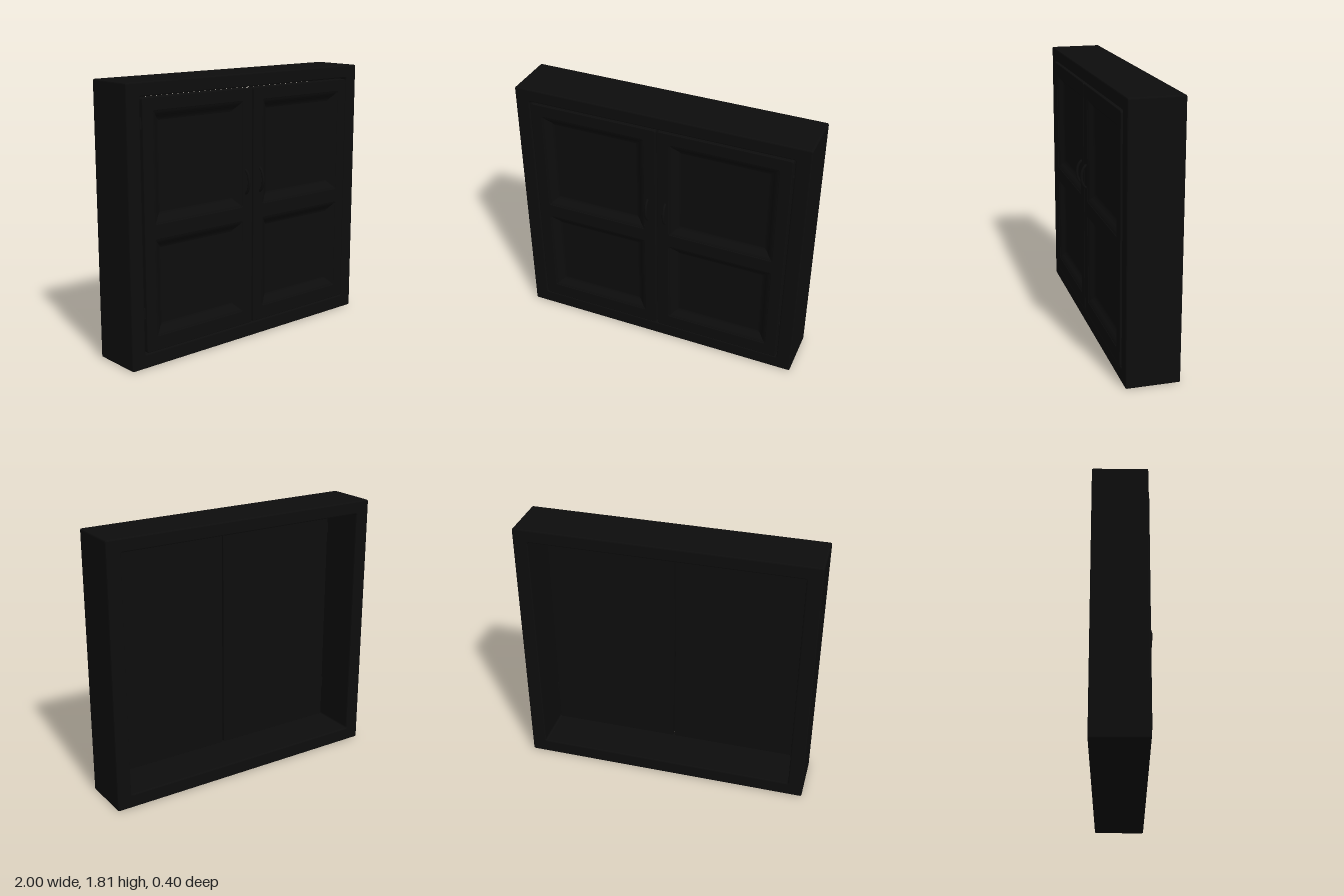
import * as THREE from 'three';

const material = new THREE.MeshStandardMaterial({ color: 0x0d0d0d, side: THREE.DoubleSide });

function add(parent, geometry, name) {
  const mesh = new THREE.Mesh(geometry, material);
  mesh.name = name;
  parent.add(mesh);
  return mesh;
}

// Rectangle outline with small rounded corners
function rounded(path, x0, x1, y0, y1, r) {
  path.moveTo(x0 + r, y0);
  path.lineTo(x1 - r, y0);
  path.quadraticCurveTo(x1, y0, x1, y0 + r);
  path.lineTo(x1, y1 - r);
  path.quadraticCurveTo(x1, y1, x1 - r, y1);
  path.lineTo(x0 + r, y1);
  path.quadraticCurveTo(x0, y1, x0, y1 - r);
  path.lineTo(x0, y0 + r);
  path.quadraticCurveTo(x0, y0, x0 + r, y0);
  return path;
}

// Bevelled board between two depths, with optional rectangular openings
function board(outer, holes, z0, z1, bevel, r) {
  const shape = rounded(new THREE.Shape(), ...outer, r);
  for (const h of holes) shape.holes.push(rounded(new THREE.Path(), ...h, r));
  const geometry = new THREE.ExtrudeGeometry(shape, {
    depth: z1 - z0 - 2 * bevel, bevelThickness: bevel, bevelSize: bevel,
    bevelOffset: -bevel, bevelSegments: 2, curveSegments: 4,
  });
  return geometry.translate(0, 0, z0 + bevel);
}

// Four sloping sides leading down into a sunken panel, with a soft S profile
function slopes([x0, x1, y0, y1], width, zTop, zBottom) {
  const steps = 6;
  const loops = [];
  for (let i = 0; i <= steps; i++) {
    const t = i / steps;
    const d = width * t;
    const z = THREE.MathUtils.lerp(zTop, zBottom, t * t * (3 - 2 * t));
    loops.push([[x0 + d, y0 + d, z], [x1 - d, y0 + d, z], [x1 - d, y1 - d, z], [x0 + d, y1 - d, z]]);
  }
  const positions = [];
  const index = [];
  for (let side = 0; side < 4; side++) {
    const base = positions.length / 3;
    for (const loop of loops) positions.push(...loop[side], ...loop[(side + 1) % 4]);
    for (let i = 0; i < steps; i++) {
      const a = base + i * 2;
      index.push(a, a + 1, a + 3, a, a + 3, a + 2);
    }
  }
  const geometry = new THREE.BufferGeometry();
  geometry.setAttribute('position', new THREE.Float32BufferAttribute(positions, 3));
  geometry.setIndex(index);
  geometry.computeVertexNormals();
  return geometry;
}

function createDoor(s) {
  const door = new THREE.Group();
  door.name = s > 0 ? 'leftDoor' : 'rightDoor';
  const span = (a, b) => (s > 0 ? [a, b] : [-b, -a]);
  const outer = [...span(0.005, 0.89), 0.103, 1.718];
  const panels = [
    [...span(0.09, 0.81), 0.93, 1.635],
    [...span(0.09, 0.81), 0.2, 0.83],
  ];

  // Backing slab, stiles and rails, sunken panels
  add(door, board(outer, [], 0.1, 0.122, 0.001, 0.015), 'doorBack');
  add(door, board(outer, panels, 0.12, 0.163, 0.004, 0.015), 'doorFrame');
  for (const p of panels) add(door, slopes(p, 0.065, 0.16, 0.1225), 'panelSlopes');

  // Bowed pull handle
  const arc = [];
  for (let i = 0; i <= 16; i++) {
    const a = -Math.PI / 2 + (Math.PI * i) / 16;
    arc.push(new THREE.Vector3(0.063 * s, 1.098 + 0.08 * Math.sin(a), 0.152 + 0.044 * Math.cos(a)));
  }
  add(door, new THREE.TubeGeometry(new THREE.CatmullRomCurve3(arc), 32, 0.009, 10), 'handle');

  // Hinges bridging the gap to the cabinet
  for (const y of [0.365, 1.565]) {
    const hinge = add(door, new THREE.BoxGeometry(0.03, 0.07, 0.045), 'hinge');
    hinge.position.set(0.895 * s, y, 0.127);
  }
  return door;
}

export function createModel() {
  const cabinet = new THREE.Group();
  cabinet.name = 'cabinet';
  // Deep surround, open at the back
  add(cabinet, board([-1, 1, 0, 1.813], [[-0.9, 0.9, 0.095, 1.725]], -0.2, 0.155, 0.008, 0.012), 'surround');
  for (const s of [1, -1]) cabinet.add(createDoor(s));
  return cabinet;
}
